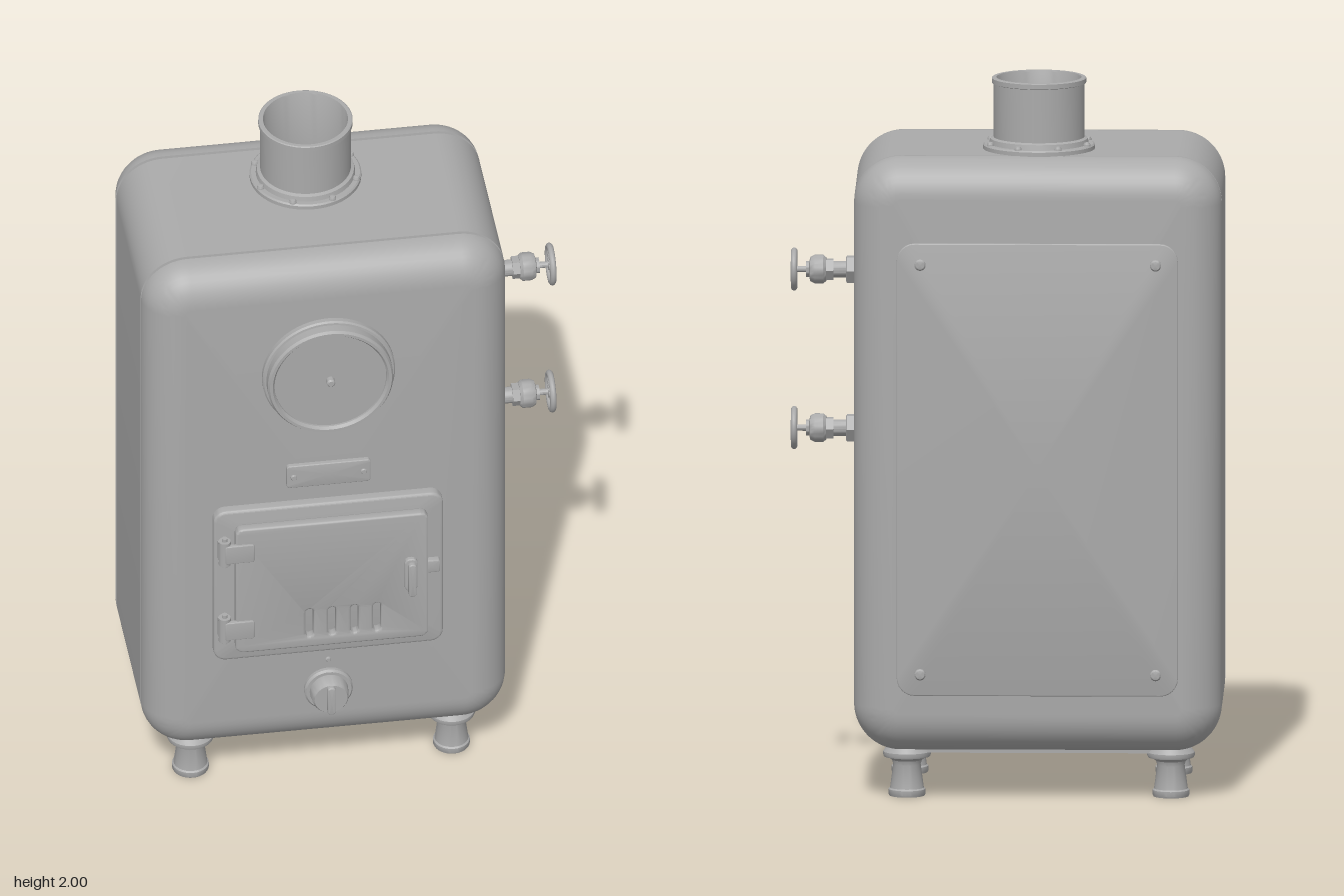
import * as THREE from 'three';
import { toCreasedNormals } from 'three/addons/utils/BufferGeometryUtils.js';

const grey = new THREE.MeshStandardMaterial({ color: 0xaaaaaa });
grey.name = 'grey enamel';

const CX = -0.09; // centre line of the casing
const FRONT = 0.29;
const BACK = -0.375;

// Closed solid from rounded-rectangle rings [z, inset], listed back to front
function loft(w, h, r, rings, seg = 10) {
  const pos = [], idx = [], n = 4 * (seg + 1);
  for (const [z, inset] of rings) {
    const rr = Math.max(r - inset, 0.001);
    for (let c = 0; c < 4; c++) {
      const sx = c === 0 || c === 3 ? 1 : -1, sy = c < 2 ? 1 : -1;
      for (let k = 0; k <= seg; k++) {
        const a = (c + k / seg) * Math.PI / 2;
        pos.push(sx * (w / 2 - inset - rr) + rr * Math.cos(a),
          sy * (h / 2 - inset - rr) + rr * Math.sin(a), z);
      }
    }
  }
  const last = rings.length - 1;
  for (let i = 0; i < last; i++) for (let j = 0; j < n; j++) {
    const a = i * n + j, b = i * n + (j + 1) % n;
    idx.push(a, b, b + n, a, b + n, a + n);
  }
  pos.push(0, 0, rings[0][0], 0, 0, rings[last][0]);
  const c0 = n * rings.length;
  for (let j = 0; j < n; j++) {
    const k = (j + 1) % n;
    idx.push(c0, k, j, c0 + 1, last * n + j, last * n + k);
  }
  const g = new THREE.BufferGeometry();
  g.setAttribute('position', new THREE.Float32BufferAttribute(pos, 3));
  g.setIndex(idx);
  return toCreasedNormals(g, 0.55);
}

// Plate with a rounded front edge, back at z = 0
function plate(w, h, d, r, b) {
  const rings = [[0, 0]];
  for (let i = 0; i <= 4; i++) {
    const a = i / 4 * Math.PI / 2;
    rings.push([d - b + b * Math.sin(a), b * (1 - Math.cos(a))]);
  }
  return loft(w, h, r, rings, 6);
}

// Turned part from [radius, height] points
function turned(points, seg = 40) {
  const g = new THREE.LatheGeometry(points.map(p => new THREE.Vector2(...p)), seg);
  return toCreasedNormals(g, 0.55);
}
const alongZ = g => g.rotateX(Math.PI / 2);
const alongX = g => g.rotateZ(-Math.PI / 2);

function add(parent, name, geometry, x = 0, y = 0, z = 0) {
  const m = new THREE.Mesh(geometry, grey);
  m.name = name;
  m.position.set(x, y, z);
  parent.add(m);
  return m;
}

const domeHead = (r, h) => turned([[r, 0], [r, h * 0.4], [r * 0.75, h * 0.8], [0, h]], 14);

function roundedShape(w, h, r, x = 0, y = 0, Type = THREE.Shape) {
  const s = new Type(), a = w / 2 - r, b = h / 2 - r;
  s.absarc(x + a, y + b, r, 0, Math.PI / 2);
  s.absarc(x - a, y + b, r, Math.PI / 2, Math.PI);
  s.absarc(x - a, y - b, r, Math.PI, Math.PI * 1.5);
  s.absarc(x + a, y - b, r, Math.PI * 1.5, Math.PI * 2);
  s.closePath();
  return s;
}

// Casing with rounded end caps and two seam grooves
function casing() {
  const rings = [], N = 10, R = 0.11, D = 0.1;
  for (let i = 0; i <= N; i++) {
    const a = i / N * Math.PI / 2;
    rings.push([BACK + D * (1 - Math.cos(a)), R * (1 - Math.sin(a))]);
  }
  for (const z of [-0.27, 0.19]) {
    rings.push([z - 0.005, 0], [z - 0.004, 0.008], [z + 0.004, 0.008], [z + 0.005, 0]);
  }
  for (let i = 1; i <= N; i++) {
    const a = i / N * Math.PI / 2;
    rings.push([FRONT - D + D * Math.sin(a), R * (1 - Math.cos(a))]);
  }
  return loft(1.02, 1.665, 0.13, rings, 14);
}

function flue() {
  const g = new THREE.Group();
  g.name = 'flue';
  g.position.set(CX, 1.795, -0.13);
  add(g, 'fluePipe', turned([[0.126, 0], [0.126, 0.188], [0.131, 0.19], [0.131, 0.203],
    [0.128, 0.205], [0.118, 0.205], [0.116, 0.2], [0.116, 0]], 56));
  add(g, 'flueFlange', turned([[0.155, 0], [0.155, 0.016], [0.151, 0.02], [0.138, 0.02],
    [0.135, 0.034], [0.126, 0.038]], 56));
  for (let i = 0; i < 8; i++) {
    const a = (i + 0.5) * Math.PI / 4;
    add(g, 'flangeBolt', domeHead(0.01, 0.012), 0.145 * Math.cos(a), 0.019, 0.145 * Math.sin(a));
  }
  return g;
}

function door() {
  const g = new THREE.Group();
  g.name = 'fireDoor';
  g.position.z = FRONT;
  add(g, 'doorFrame', plate(0.643, 0.518, 0.028, 0.035, 0.008), -0.093, 0.736, 0);
  // Door leaf with four vent slots
  const s = roundedShape(0.54, 0.43, 0.022);
  for (let i = 0; i < 4; i++) {
    s.holes.push(roundedShape(0.022, 0.095, 0.0109, -0.063 + i * 0.063, -0.132, THREE.Path));
  }
  const b = 0.006;
  const leaf = new THREE.ExtrudeGeometry(s, { depth: 0.03 - 2 * b, bevelThickness: b, bevelSize: b,
    bevelOffset: -b, bevelSegments: 3, curveSegments: 8 });
  add(g, 'doorLeaf', toCreasedNormals(leaf, 0.55), -0.087, 0.735, 0.027 + b);
  // Hinges
  for (const y of [0.87, 0.603]) {
    add(g, 'hingeBarrel', new THREE.CylinderGeometry(0.017, 0.017, 0.08, 18), -0.387, y, 0.046);
    add(g, 'hingePin', new THREE.CylinderGeometry(0.008, 0.008, 0.1, 12), -0.387, y, 0.046);
    add(g, 'hingeStrap', plate(0.082, 0.06, 0.012, 0.006, 0.003), -0.347, y, 0.052);
    add(g, 'hingeBase', new THREE.BoxGeometry(0.034, 0.06, 0.025), -0.387, y, 0.035);
  }
  // Handle and latch
  add(g, 'handleBase', plate(0.036, 0.11, 0.014, 0.015, 0.004), 0.133, 0.748, 0.056);
  add(g, 'handleStem', new THREE.BoxGeometry(0.018, 0.05, 0.025), 0.133, 0.748, 0.077);
  add(g, 'handleGrip', plate(0.022, 0.112, 0.014, 0.01, 0.004), 0.133, 0.748, 0.084);
  add(g, 'latch', plate(0.05, 0.042, 0.02, 0.007, 0.004), 0.193, 0.752, 0.025);
  return g;
}

function valve(y) {
  const g = new THREE.Group();
  g.name = 'valve';
  g.position.set(0.415, y, -0.08);
  add(g, 'wallNut', alongX(turned([[0, 0], [0.041, 0], [0.041, 0.028], [0.036, 0.031], [0, 0.031]], 6)));
  add(g, 'valvePipe', alongX(turned([[0.023, 0.03], [0.023, 0.07]], 20)));
  add(g, 'valveNut', alongX(turned([[0, 0.066], [0.032, 0.066], [0.032, 0.088], [0, 0.088]], 6)));
  add(g, 'valveBody', alongX(turned([[0, 0.086], [0.033, 0.086], [0.04, 0.094], [0.04, 0.118],
    [0.034, 0.13], [0.022, 0.133], [0.022, 0.142], [0, 0.142]], 24)));
  add(g, 'valveStem', alongX(turned([[0.009, 0.14], [0.009, 0.182], [0, 0.184]], 12)));
  const wheel = new THREE.Group();
  wheel.name = 'handwheel';
  wheel.position.x = 0.175;
  g.add(wheel);
  add(wheel, 'wheelRim', new THREE.TorusGeometry(0.051, 0.009, 10, 36).rotateY(Math.PI / 2));
  add(wheel, 'wheelHub', alongX(new THREE.CylinderGeometry(0.017, 0.017, 0.014, 16)));
  for (let i = 0; i < 5; i++) {
    const spoke = new THREE.BoxGeometry(0.008, 0.046, 0.01).translate(0, 0.029, 0);
    add(wheel, 'wheelSpoke', spoke).rotation.x = i * Math.PI * 2 / 5;
  }
  return g;
}

export function createModel() {
  const model = new THREE.Group();
  model.name = 'boiler';
  add(model, 'casing', casing(), CX, 0.9675, 0);
  add(model, 'bottomPlate', new THREE.BoxGeometry(0.78, 0.02, 0.46), CX, 0.133, -0.035);
  model.add(flue(), door(), valve(1.45), valve(1.005));

  // Round gauge
  add(model, 'gaugeBezel', alongZ(turned([[0.186, 0], [0.186, 0.014], [0.182, 0.019], [0.176, 0.02],
    [0.176, 0.046], [0.171, 0.054], [0.163, 0.054], [0.157, 0.046], [0.157, 0.04], [0, 0.04]], 64)),
  CX, 1.435, FRONT);
  add(model, 'gaugePin', alongZ(turned([[0.012, 0], [0.012, 0.016], [0.008, 0.02], [0, 0.02]], 16)),
    CX, 1.435, FRONT + 0.039);

  // Blank plate with rivets
  add(model, 'blankPlate', plate(0.235, 0.075, 0.013, 0.008, 0.003), CX, 1.085, FRONT);
  for (const s of [-1, 1]) {
    add(model, 'plateRivet', alongZ(domeHead(0.009, 0.008)), CX + s * 0.098, 1.085, FRONT + 0.012);
  }

  // Control knob
  add(model, 'knob', alongZ(turned([[0.068, 0], [0.068, 0.01], [0.063, 0.016], [0.054, 0.016],
    [0.05, 0.05], [0.046, 0.056], [0, 0.056]], 40)), CX, 0.33, FRONT);
  add(model, 'knobGrip', plate(0.022, 0.092, 0.02, 0.009, 0.004), CX, 0.33, FRONT + 0.05);
  add(model, 'knobMarker', alongZ(domeHead(0.008, 0.008)), CX, 0.428, FRONT);

  // Back panel with corner bolts
  add(model, 'backPanel', plate(0.78, 1.27, 0.007, 0.05, 0.003).rotateY(Math.PI), CX, 0.935, BACK + 0.002);
  for (const x of [-0.418, 0.235]) for (const y of [0.36, 1.51]) {
    add(model, 'panelBolt', domeHead(0.016, 0.012).rotateX(-Math.PI / 2), x, y, BACK - 0.004);
  }

  // Feet
  for (const x of [-0.458, 0.274]) for (const z of [0.17, -0.24]) {
    add(model, 'foot', turned([[0, 0], [0.049, 0], [0.051, 0.004], [0.051, 0.018], [0.047, 0.022],
      [0.038, 0.088], [0.042, 0.1], [0.05, 0.106], [0.064, 0.11], [0.066, 0.115], [0.066, 0.124],
      [0.062, 0.13], [0.045, 0.15]], 32), x, 0, z);
  }
  return model;
}
